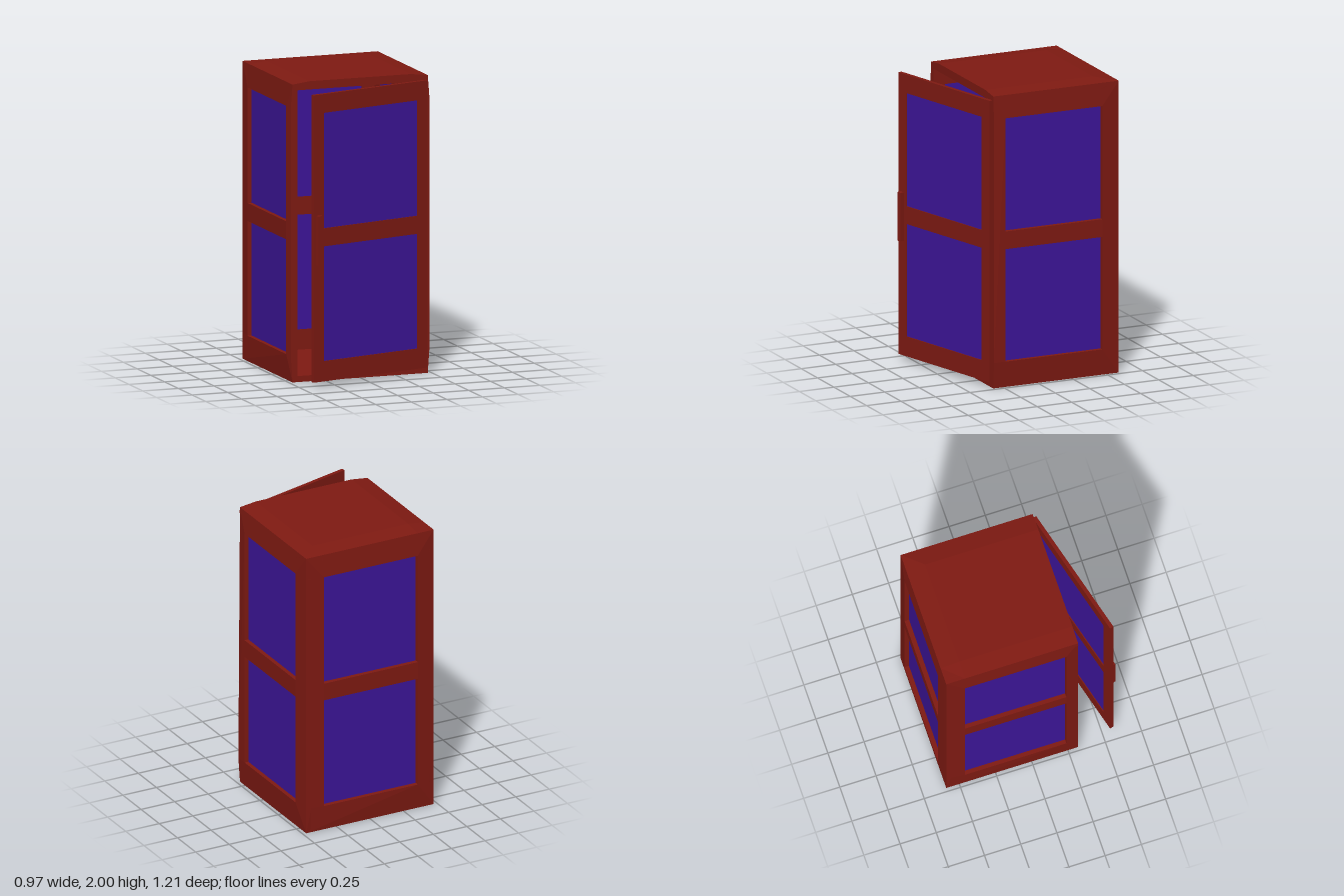
import * as THREE from 'three';

const HX = 0.475, BACK = -0.59, FRONT = 0.32, TOP = 1.985, T = 0.035;
const ROWS = [[0.175, 0.94], [1.06, 1.83]]; // lower and upper window heights

const red = new THREE.MeshStandardMaterial({ color: 0x7f1a12, flatShading: true });
const purple = new THREE.MeshStandardMaterial({ color: 0x3d1599, flatShading: true });

function add(parent, name, geometry, material, x = 0, y = 0, z = 0) {
  const mesh = new THREE.Mesh(geometry, material);
  mesh.name = name;
  mesh.position.set(x, y, z);
  parent.add(mesh);
  return mesh;
}

// Frame in the XY plane with two window holes, extruded towards +z
function frameGeometry(u0, u1, v0, v1, w0, w1, depth) {
  const vs = [v0, ...ROWS.flat(), v1];
  const outline = [...vs.map(v => new THREE.Vector2(u1, v)), ...[...vs].reverse().map(v => new THREE.Vector2(u0, v))];
  const shape = new THREE.Shape(outline);
  for (const [a, b] of ROWS) {
    shape.holes.push(new THREE.Path([[w0, a], [w0, b], [w1, b], [w1, a]].map(p => new THREE.Vector2(...p))));
  }
  return new THREE.ExtrudeGeometry(shape, { depth, bevelEnabled: false });
}

// Outer faces swell slightly away from their edges
function swell(geometry) {
  const p = geometry.attributes.position;
  const ramp = t => THREE.MathUtils.clamp(t, 0, 1);
  const near = (a, b) => Math.abs(a - b) < 1e-4;
  for (let i = 0; i < p.count; i++) {
    const x = p.getX(i), y = p.getY(i), z = p.getZ(i);
    const rx = ramp((HX - Math.abs(x)) / 0.12);
    const ry = Math.min(ramp(y / 0.17), ramp((TOP - y) / 0.15));
    const rz = ramp((z - BACK) / 0.125);
    if (near(Math.abs(x), HX)) p.setX(i, x + Math.sign(x) * 0.012 * Math.min(ry, rz));
    if (near(z, BACK)) p.setZ(i, z - 0.015 * Math.min(rx, ry));
    if (near(y, TOP)) p.setY(i, y + 0.015 * Math.min(rx, rz));
  }
  geometry.computeVertexNormals();
  return geometry;
}

// One wall with its two recessed panes; angle turns it to face outward
function wall(parent, name, u0, u1, w0, w1, out, angle) {
  const g = frameGeometry(u0, u1, 0, TOP, w0, w1, T);
  g.translate(0, 0, out - T).rotateY(angle);
  add(parent, name + 'Frame', swell(g), red);
  for (const [a, b] of ROWS) {
    const pane = new THREE.BoxGeometry(w1 - w0, b - a, 0.016);
    pane.translate((w0 + w1) / 2, (a + b) / 2, out - T + 0.011).rotateY(angle);
    add(parent, name + 'Pane', pane, purple);
  }
}

export function createModel() {
  const model = new THREE.Group();
  model.name = 'booth';

  // Hollow body
  const body = new THREE.Group();
  body.name = 'body';
  model.add(body);
  wall(body, 'leftWall', -FRONT, -BACK, -0.235, 0.465, HX, Math.PI / 2);
  wall(body, 'rightWall', BACK, FRONT, -0.465, 0.235, HX, -Math.PI / 2);
  wall(body, 'backWall', -HX, HX, -0.35, 0.35, -BACK, Math.PI);

  const roof = new THREE.BoxGeometry(HX * 2, 0.04, FRONT - BACK, 8, 1, 7);
  roof.translate(0, TOP - 0.02, (FRONT + BACK) / 2);
  add(body, 'roof', swell(roof), red);
  add(body, 'floor', new THREE.BoxGeometry((HX - T) * 2, 0.04, FRONT - BACK - T), red,
    0, 0.02, (FRONT + BACK + T) / 2);

  // Door standing ajar, hinged on the left
  const door = new THREE.Group();
  door.name = 'door';
  door.position.set(0.016, 0, 0.448);
  door.rotation.y = THREE.MathUtils.degToRad(15);
  model.add(door);
  const leaf = frameGeometry(-0.461, 0.461, 0.04, 1.955, -0.38, 0.38, 0.026);
  add(door, 'doorFrame', leaf, red, 0, 0, -0.013);
  for (const [a, b] of ROWS) {
    add(door, 'doorPane', new THREE.BoxGeometry(0.76, b - a, 0.014), purple, 0, (a + b) / 2, 0);
  }
  add(door, 'doorHandle', new THREE.BoxGeometry(0.034, 0.33, 0.028), red, -0.425, 0.985, 0.026);

  return model;
}
